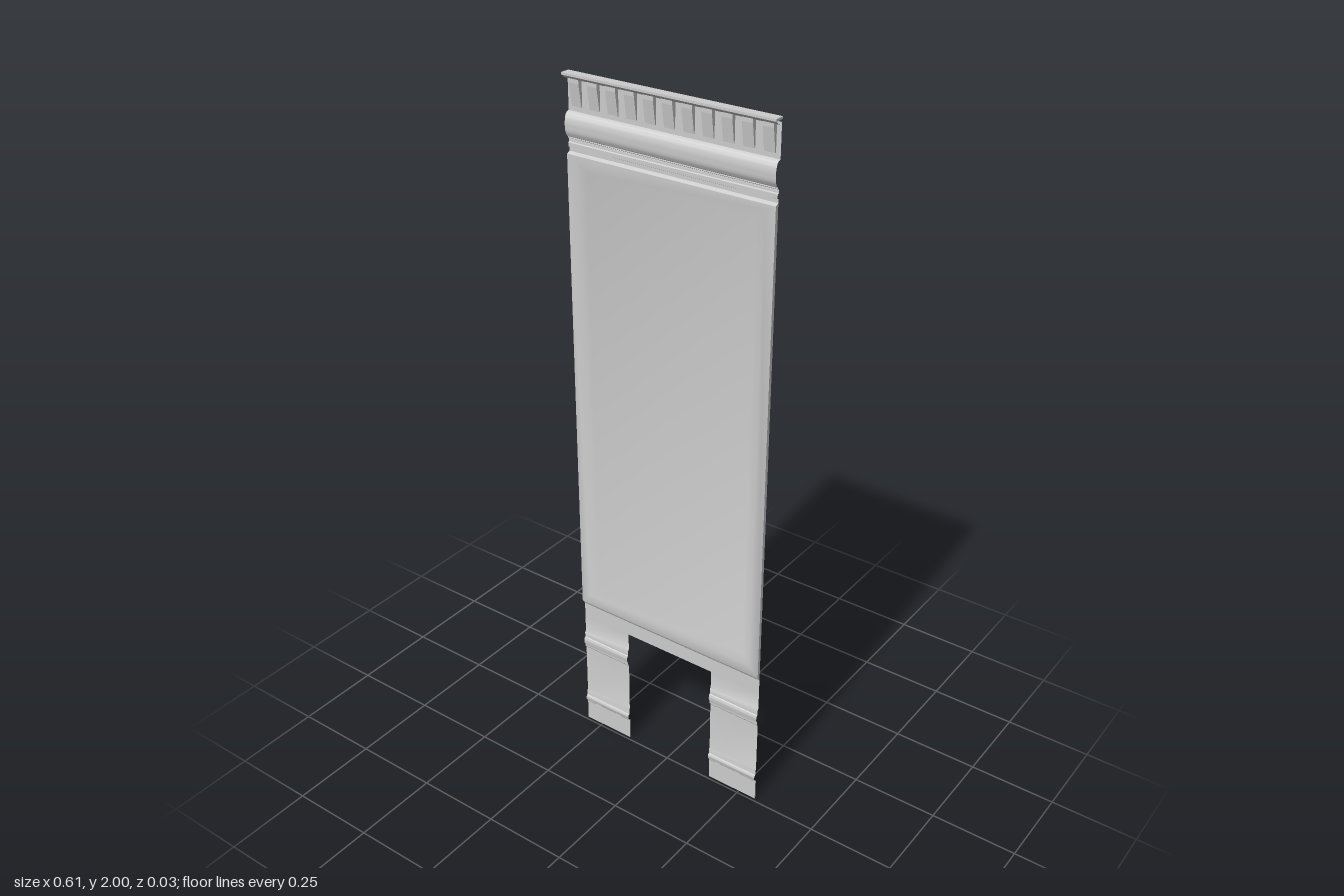
import * as THREE from 'three';
import { toCreasedNormals } from 'three/addons/utils/BufferGeometryUtils.js';

const HALF = 0.305;      // half width of the wall piece
const LEG_IN = 0.145;    // inner edge of each leg
const WALL_Z = -0.01;    // plane of the thin wall sheet
const material = new THREE.MeshStandardMaterial({ color: 0xcccccc, side: THREE.DoubleSide });

function add(group, name, geometry) {
  const mesh = new THREE.Mesh(geometry, material);
  mesh.name = name;
  group.add(mesh);
  return mesh;
}

function build(positions, index) {
  const g = new THREE.BufferGeometry();
  g.setAttribute('position', new THREE.Float32BufferAttribute(positions, 3));
  g.setIndex(index);
  return toCreasedNormals(g, 0.6);
}

// Sheet moulding: a [y, z] profile, listed upwards, swept from x0 to x1
function sweep(profile, x0, x1) {
  const pos = [], idx = [];
  profile.forEach(([y, z], i) => {
    pos.push(x0, y, z, x1, y, z);
    if (i > 0) {
      const a = (i - 1) * 2;
      idx.push(a, a + 1, a + 3, a, a + 3, a + 2);
    }
  });
  return build(pos, idx);
}

// Half-round bulge from y0 to y1, standing out from z by depth
function bulge(y0, y1, z, depth, steps = 8) {
  return Array.from({ length: steps + 1 }, (_, i) => {
    const t = (i / steps) * Math.PI;
    return [(y0 + y1) / 2 - Math.cos(t) * (y1 - y0) / 2, z + Math.sin(t) * depth];
  });
}

// Closed slab with a bevelled recess, built from nested rectangles back to front
function panelGeometry() {
  const loops = [
    [HALF, 0.43, 1.8, -0.01],
    [HALF, 0.445, 1.795, 0],
    [0.275, 0.475, 1.78, 0],
    [0.25, 0.5, 1.755, -0.007],
  ];
  const pos = [], idx = [];
  loops.forEach(([x, y0, y1, z], i) => {
    pos.push(-x, y0, z, x, y0, z, x, y1, z, -x, y1, z);
    if (i === 0) return;
    for (let k = 0; k < 4; k++) {
      const a = (i - 1) * 4 + k, b = (i - 1) * 4 + (k + 1) % 4;
      idx.push(a, b, b + 4, a, b + 4, a + 4);
    }
  });
  const f = (loops.length - 1) * 4;
  idx.push(f, f + 1, f + 2, f, f + 2, f + 3, 0, 2, 1, 0, 3, 2);
  return build(pos, idx);
}

export function createModel() {
  const model = new THREE.Group();
  model.name = 'wallPanel';

  add(model, 'recessedPanel', panelGeometry());

  // Band over the opening
  add(model, 'lintel', sweep([[0.385, WALL_Z], [0.432, WALL_Z]], -HALF, HALF));

  // Two legs with a collar and a base moulding
  const legProfile = [
    [0, -0.009], [0.065, -0.009], [0.07, -0.005],
    ...bulge(0.07, 0.09, -0.007, 0.005, 6),
    [0.095, -0.008], [0.105, -0.008], [0.112, WALL_Z],
    [0.27, WALL_Z], [0.275, -0.006], [0.285, -0.006],
    ...bulge(0.285, 0.31, -0.006, 0.005, 6),
    [0.325, -0.006], [0.332, WALL_Z], [0.385, WALL_Z],
  ];
  for (const side of [-1, 1]) {
    const leg = new THREE.Group();
    leg.name = side > 0 ? 'leftLeg' : 'rightLeg';
    const [x0, x1] = side > 0 ? [LEG_IN, HALF] : [-HALF, -LEG_IN];
    add(leg, 'legSheet', sweep(legProfile, x0, x1));
    const base = add(leg, 'legBase', new THREE.BoxGeometry(x1 - x0, 0.065, 0.003));
    base.position.set((x0 + x1) / 2, 0.0325, -0.0105);
    model.add(leg);
  }

  // Cornice: fillets, a large round and the flat band behind the dentils
  const cornice = new THREE.Group();
  cornice.name = 'cornice';
  add(cornice, 'corniceMoulding', sweep([
    [1.798, WALL_Z], [1.81, WALL_Z], [1.812, -0.006], [1.822, -0.006],
    [1.824, WALL_Z], [1.832, WALL_Z], [1.835, -0.005],
    ...bulge(1.838, 1.9, -0.006, 0.011, 12),
    [1.902, -0.012], [1.988, -0.012],
  ], -HALF, HALF));

  // Row of wedge-shaped dentils
  const side = new THREE.Shape([
    [-0.012, 1.915], [-0.009, 1.915], [0, 1.975], [0, 1.988], [-0.012, 1.988],
  ].map(([z, y]) => new THREE.Vector2(z, y)));
  const width = 0.03, count = 11, pitch = (2 * HALF) / count;
  const dentil = new THREE.ExtrudeGeometry(side, { depth: width, bevelEnabled: false });
  dentil.translate(0, 0, -width / 2).rotateY(-Math.PI / 2);
  for (let i = 0; i < count; i++) {
    add(cornice, 'dentil', dentil).position.x = (i - (count - 1) / 2) * pitch;
  }

  // Flat cap on top
  add(cornice, 'cap', new THREE.BoxGeometry(2 * HALF, 0.006, 0.027)).position.set(0, 1.997, -0.0015);
  add(cornice, 'capCove', sweep([[1.98, -0.012], [1.986, 0.002], [1.994, 0.01]], -HALF, HALF));
  model.add(cornice);

  return model;
}
